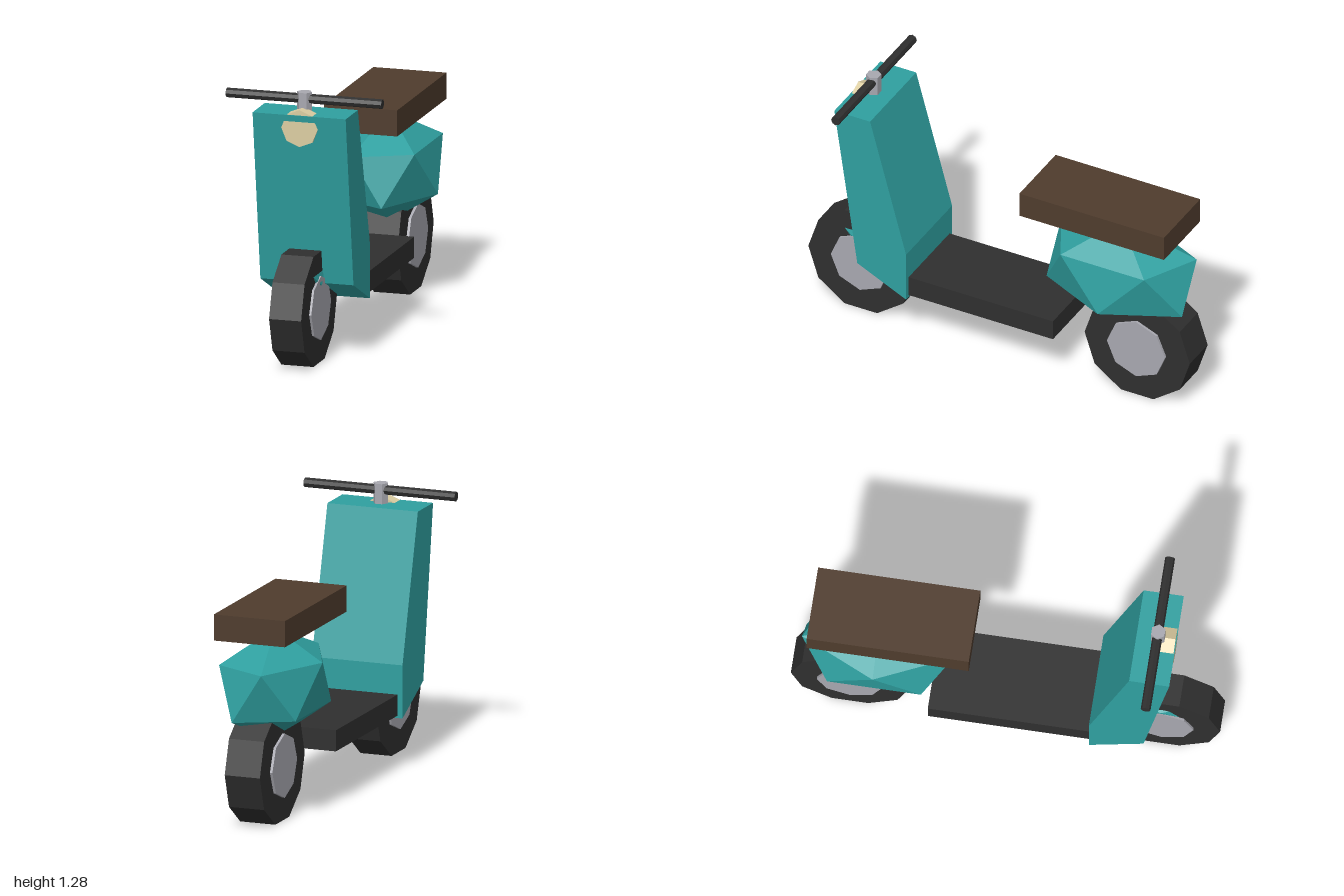
import * as THREE from 'three';
import { ConvexGeometry } from 'three/addons/geometries/ConvexGeometry.js';

const paint = (name, color) => {
  const m = new THREE.MeshStandardMaterial({ color, flatShading: true });
  m.name = name;
  return m;
};

export function createModel() {
  const teal = paint('teal paint', 0x2fa0a0);
  const dark = paint('dark rubber', 0x2f2f2f);
  const metal = paint('grey metal', 0xa8a8b0);
  const brown = paint('brown seat', 0x4f3c2d);
  const cream = paint('cream lamp', 0xdccda2);

  const model = new THREE.Group();
  model.name = 'scooter';

  const add = (parent, name, geometry, material, x = 0, y = 0, z = 0) => {
    const mesh = new THREE.Mesh(geometry, material);
    mesh.name = name;
    mesh.position.set(x, y, z);
    parent.add(mesh);
    return mesh;
  };
  const rod = (r, length, sides) => new THREE.CylinderGeometry(r, r, length, sides);

  // Twenty-sided faceted ball: two poles and two offset rings of five
  const facetedBall = (rx, ry, rz) => {
    const points = [new THREE.Vector3(0, ry, 0), new THREE.Vector3(0, -ry, 0)];
    const h = 1 / Math.sqrt(5);
    for (let i = 0; i < 10; i++) {
      const a = (i * Math.PI) / 5;
      points.push(new THREE.Vector3(
        2 * h * rx * Math.cos(a), (i % 2 ? h : -h) * ry, 2 * h * rz * Math.sin(a)));
    }
    return new ConvexGeometry(points);
  };

  // Wheels: ten-sided tyre with an eight-sided hub poking through
  const addWheel = (name, z, tyreWidth, hubWidth) => {
    const wheel = new THREE.Group();
    wheel.name = name;
    wheel.position.set(0, 0.262, z);
    add(wheel, 'tyre', rod(0.275, tyreWidth, 10).rotateZ(Math.PI / 2), dark);
    add(wheel, 'hub', rod(0.152, hubWidth, 8).rotateZ(Math.PI / 2), metal);
    model.add(wheel);
  };
  addWheel('frontWheel', 0.725, 0.155, 0.176);
  addWheel('rearWheel', -0.725, 0.175, 0.2);

  // Front fender, mostly sunk into the wheel
  add(model, 'frontFender', facetedBall(0.103, 0.075, 0.194), teal, 0, 0.404, 0.725);

  // Leg shield: side profile (z, y) extruded across x
  const profile = new THREE.Shape([
    [0.41, 0.243], [0.665, 0.365], [0.785, 1.182], [0.598, 1.182], [0.41, 0.495],
  ].map(([z, y]) => new THREE.Vector2(z, y)));
  const shield = new THREE.ExtrudeGeometry(profile, { depth: 0.45, bevelEnabled: false });
  shield.translate(0, 0, -0.225).rotateY(-Math.PI / 2);
  add(model, 'legShield', shield, teal);

  // Footboard, rear body and seat
  add(model, 'footboard', new THREE.BoxGeometry(0.4, 0.1, 0.757), dark, 0, 0.304, 0.034);
  add(model, 'rearBody', facetedBall(0.263, 0.262, 0.416), teal, 0, 0.617, -0.597);
  add(model, 'seat', new THREE.BoxGeometry(0.354, 0.124, 0.756), brown, 0, 0.935, -0.535);

  // Headlight, steering stem and handlebar
  add(model, 'headlight', rod(0.088, 0.065, 8).rotateX(Math.PI / 2), cream, 0, 1.12, 0.748);
  add(model, 'steeringStem', rod(0.036, 0.14, 6).rotateY(Math.PI / 2), metal, 0, 1.207, 0.7);
  add(model, 'handlebar', rod(0.023, 0.752, 8).rotateZ(Math.PI / 2), dark, 0, 1.245, 0.698);

  return model;
}
